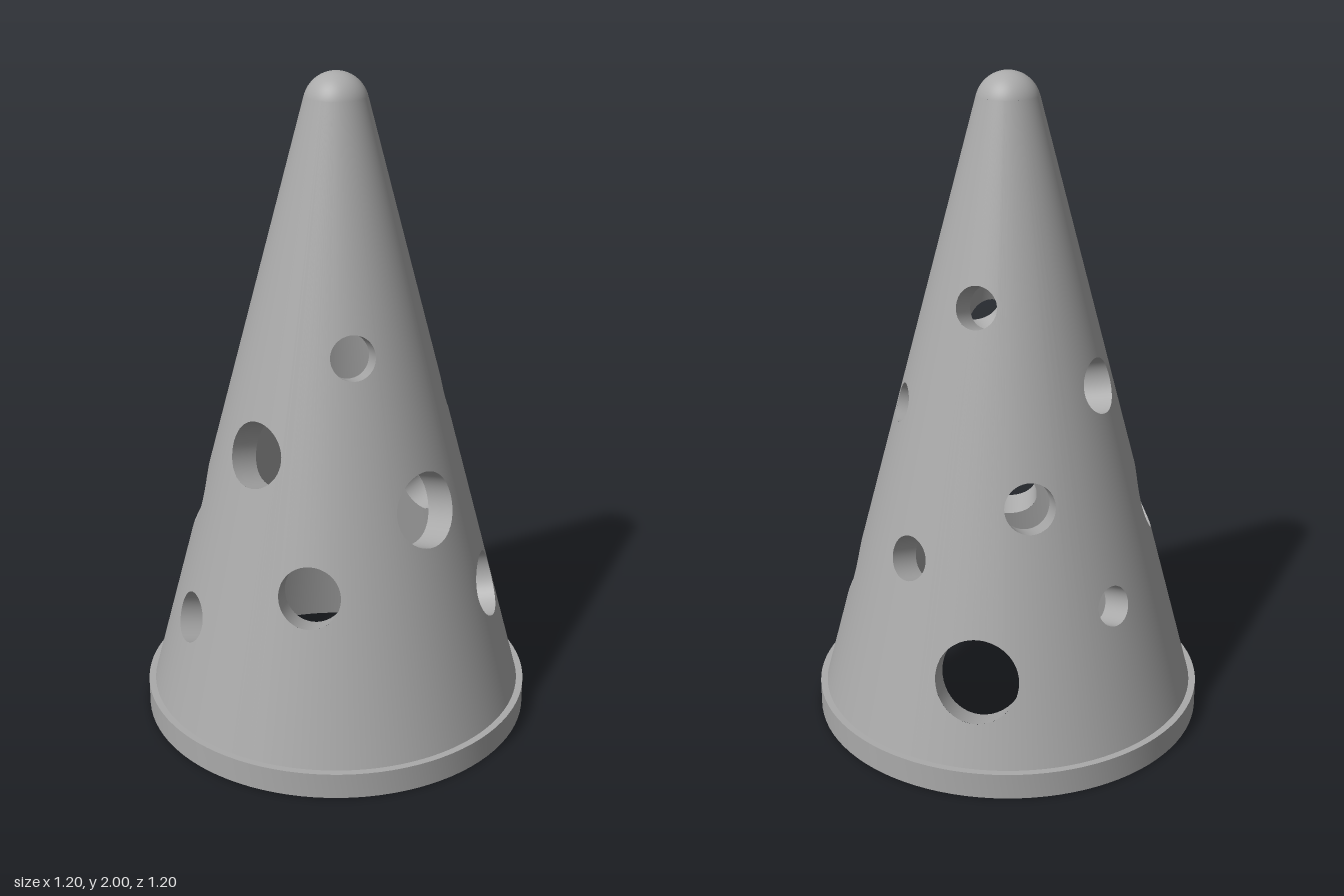
import * as THREE from 'three';
import { toCreasedNormals } from 'three/addons/utils/BufferGeometryUtils.js';

const SLOPE = 0.2636;                 // radius lost per unit of height
const ALPHA = Math.atan(SLOPE);
const OUTER = 0.6, INNER = 0.5;       // cone radii at y = 0
const CAP = 0.0945, CAP_Y = 2 - CAP;  // round tip
const RIM = 0.08;
const TAU = Math.PI * 2;
const STEPS = 24;

// holes drilled square to the wall: direction (x, z), height, radius
const HOLES = [
  [0.087, -0.503, 0.33, 0.124], [-0.067, -0.372, 0.82, 0.075],
  [-0.314, -0.346, 0.495, 0.06], [0.288, -0.32, 0.635, 0.067],
  [0.09, -0.221, 1.37, 0.063], [-0.266, -0.141, 1.11, 0.083],
  [0.317, -0.09, 1.035, 0.059], [-0.41, 0.032, 0.695, 0.114],
  [0.48, 0.038, 0.45, 0.101], [-0.391, 0.295, 0.39, 0.077],
  [-0.183, 0.285, 0.939, 0.098], [0.093, 0.25, 1.24, 0.066],
  [0.304, 0.228, 0.778, 0.113], [0, 0.447, 0.57, 0.092],
].map(([x, z, y, r]) => {
  const angle = Math.atan2(x, z);
  return { angle, y, r, centre: onCone(OUTER, angle, y), axis: wallNormal(angle) };
});

function onCone(base, angle, y) {
  const r = base - SLOPE * y;
  return new THREE.Vector3(r * Math.sin(angle), y, r * Math.cos(angle));
}

function wallNormal(angle) {
  return new THREE.Vector3(Math.sin(angle) * Math.cos(ALPHA), Math.sin(ALPHA), Math.cos(angle) * Math.cos(ALPHA));
}

// where the straight line up the cone at this angle enters and leaves a hole
function span(base, hole, angle) {
  const flat = (v) => v.addScaledVector(hole.axis, -v.dot(hole.axis));
  const w = flat(onCone(base, angle, 0).sub(hole.centre));
  const d = flat(new THREE.Vector3(-SLOPE * Math.sin(angle), 1, -SLOPE * Math.cos(angle)));
  const a = d.dot(d), b = w.dot(d), c = w.dot(w) - hole.r * hole.r;
  const disc = b * b - a * c, root = Math.sqrt(Math.max(0, disc));
  return { disc, low: (-b - root) / a, high: (-b + root) / a };
}

// half the angle a hole covers on a cone
function halfAngle(base, hole) {
  let lo = 0, hi = Math.PI / 2;
  for (let i = 0; i < 45; i++) {
    const mid = (lo + hi) / 2;
    if (span(base, hole, hole.angle + mid).disc > 0) lo = mid; else hi = mid;
  }
  return lo;
}

const holeAngle = (hole, half, k) => hole.angle - half * Math.cos((Math.PI * k) / STEPS);

// collects quads with a normal for each corner
function quadBuilder() {
  const pos = [], nor = [];
  return {
    quad(points, normals, flip) {
      for (const i of flip ? [0, 2, 1, 0, 3, 2] : [0, 1, 2, 0, 2, 3]) {
        pos.push(...points[i].toArray());
        nor.push(...normals[i].toArray());
      }
    },
    build() {
      const g = new THREE.BufferGeometry();
      g.setAttribute('position', new THREE.Float32BufferAttribute(pos, 3));
      g.setAttribute('normal', new THREE.Float32BufferAttribute(nor, 3));
      return g;
    },
  };
}

// cone surface in narrow upright strips, interrupted by the holes
function piercedCone(base, bottom, top, inward) {
  const halves = HOLES.map((h) => halfAngle(base, h));
  let cuts = [];
  for (let i = 0; i < 96; i++) cuts.push((i / 96) * TAU);
  HOLES.forEach((h, n) => {
    for (let k = 0; k <= STEPS; k++) cuts.push((holeAngle(h, halves[n], k) + TAU) % TAU);
  });
  cuts.sort((a, b) => a - b);
  cuts = cuts.filter((a, i) => i === 0 || a - cuts[i - 1] > 1e-7);
  cuts.push(TAU);
  const out = quadBuilder();
  for (let i = 0; i + 1 < cuts.length; i++) {
    const a = cuts[i], b = cuts[i + 1], mid = (a + b) / 2;
    const crossed = HOLES.filter((h, n) => Math.cos(mid - h.angle) > Math.cos(halves[n]))
      .sort((p, q) => p.y - q.y);
    const na = wallNormal(a), nb = wallNormal(b);
    if (inward) { na.negate(); nb.negate(); }
    const strip = (a0, b0, a1, b1) => out.quad(
      [onCone(base, a, a0), onCone(base, b, b0), onCone(base, b, b1), onCone(base, a, a1)],
      [na, nb, nb, na], inward);
    let ya = bottom, yb = bottom;
    for (const h of crossed) {
      const sa = span(base, h, a), sb = span(base, h, b);
      strip(ya, yb, sa.low, sb.low);
      ya = sa.high;
      yb = sb.high;
    }
    strip(ya, yb, top, top);
  }
  return out.build();
}

// tube through the wall between the outer and inner edges of a hole
function holeWall(hole) {
  const out = quadBuilder();
  const ho = halfAngle(OUTER, hole), hi = halfAngle(INNER, hole);
  const normal = (p) => {
    const v = p.clone().sub(hole.centre);
    return v.addScaledVector(hole.axis, -v.dot(hole.axis)).normalize().negate();
  };
  for (const side of ['low', 'high']) {
    const edge = (base, half, k) => {
      const angle = holeAngle(hole, half, k);
      return onCone(base, angle, span(base, hole, angle)[side]);
    };
    for (let k = 0; k < STEPS; k++) {
      const pts = [edge(OUTER, ho, k), edge(OUTER, ho, k + 1), edge(INNER, hi, k + 1), edge(INNER, hi, k)];
      out.quad(pts, pts.map(normal), side === 'high');
    }
  }
  return out.build();
}

export function createModel() {
  const group = new THREE.Group();
  const grey = new THREE.MeshStandardMaterial({ color: 0xaaaaaa });
  grey.name = 'grey';
  const add = (name, geometry) => {
    const mesh = new THREE.Mesh(geometry, grey);
    mesh.name = name;
    group.add(mesh);
    return mesh;
  };

  // shell
  add('outerCone', piercedCone(OUTER, RIM, CAP_Y + CAP * Math.sin(ALPHA), false));
  add('innerCone', piercedCone(INNER, 0, INNER / SLOPE - 0.001, true));
  HOLES.forEach((h, i) => add('holeWall' + (i + 1), holeWall(h)));

  // rounded tip
  add('tip', new THREE.SphereGeometry(CAP, 64, 16, 0, TAU, 0, Math.PI / 2 - ALPHA)).position.y = CAP_Y;

  // base rim with a narrow ledge and an open underside
  const rim = [[INNER, 0], [0.6, 0], [0.6, RIM], [OUTER - SLOPE * RIM, RIM]];
  add('baseRim', toCreasedNormals(
    new THREE.LatheGeometry(rim.map(([x, y]) => new THREE.Vector2(x, y)), 96), 0.6));
  return group;
}
